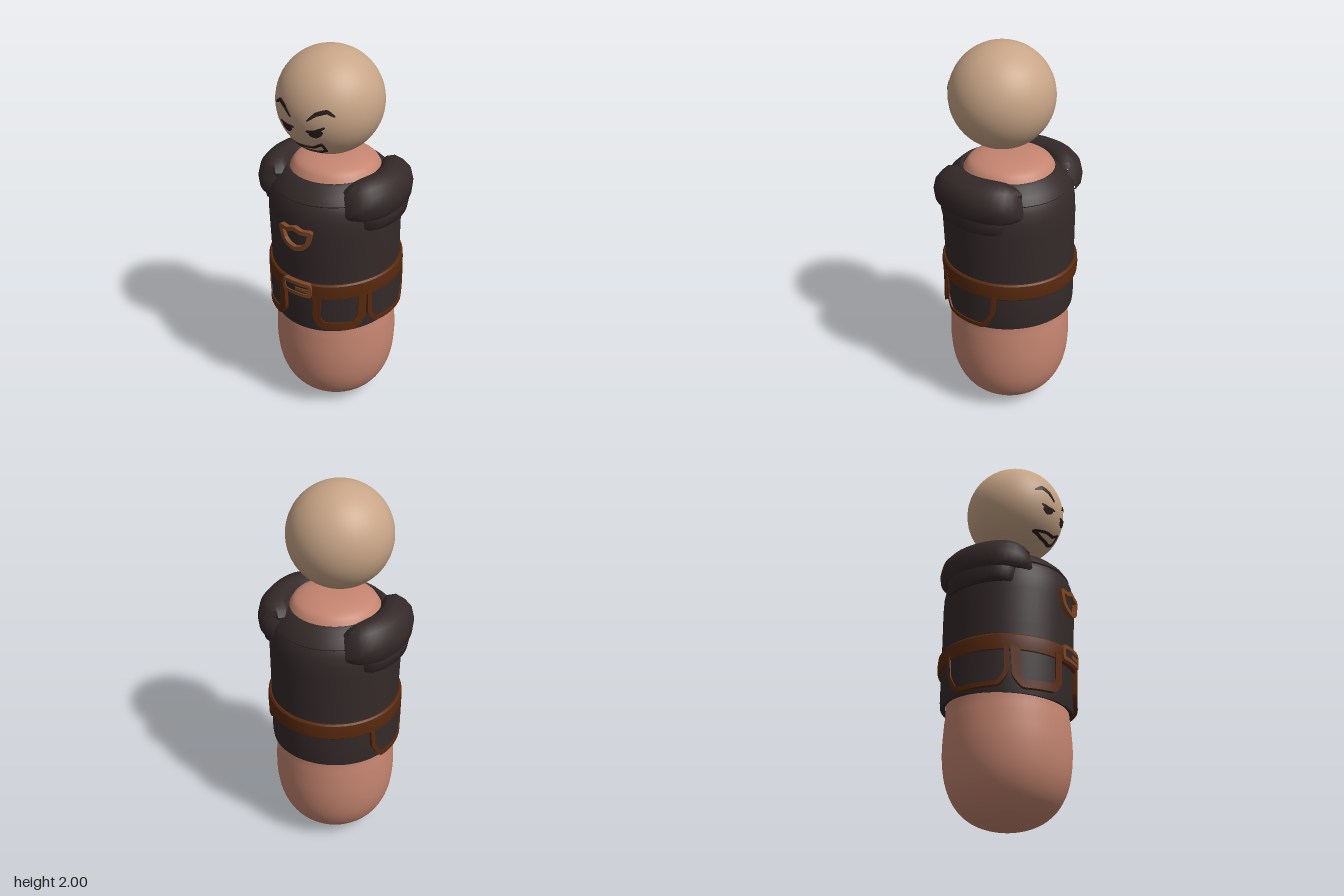
import * as THREE from 'three';
import { toCreasedNormals } from 'three/addons/utils/BufferGeometryUtils.js';

const R = 0.34; // nominal torso radius, turns arc length into angle
const HEAD = { y: 1.737, z: 0.037, r: 0.264 };

const material = (name, color) => Object.assign(new THREE.MeshStandardMaterial({ color }), { name });

// Point on the torso: angle from the front, height, radius
function onTorso(a, y, r) {
  const lean = -0.018 + 0.015 * THREE.MathUtils.clamp((y - 0.6) / 0.6, 0, 1);
  return new THREE.Vector3(Math.sin(a) * r, y, Math.cos(a) * r * 1.03 + lean);
}

// Point on the front of the head
function onHead(x, y, h) {
  const dy = y - HEAD.y;
  const z = Math.sqrt(HEAD.r ** 2 - x * x - dy * dy);
  return new THREE.Vector3(x, dy, z).multiplyScalar(1 + h / HEAD.r).add(new THREE.Vector3(0, HEAD.y, HEAD.z));
}

// Skin a list of rows of points
function loft(rows, crease = 0.6) {
  const n = rows[0].length;
  const index = [];
  for (let i = 0; i < rows.length - 1; i++) {
    for (let j = 0; j < n - 1; j++) {
      const a = i * n + j, b = a + n;
      index.push(a, b, b + 1, a, b + 1, a + 1);
    }
  }
  const geo = new THREE.BufferGeometry().setFromPoints(rows.flat());
  geo.setIndex(index);
  return toCreasedNormals(geo, crease);
}

// Revolve a [radius, height] profile around the torso; shift moves heights by angle
function revolve(profile, shift = () => 0, steps = 64) {
  const rows = [];
  for (let i = 0; i <= steps; i++) {
    const a = (i / steps) * Math.PI * 2;
    rows.push(profile.map(([r, y]) => onTorso(a, y + shift(a, y), r)));
  }
  return loft(rows);
}

// Raised strip following a path on a curved surface
function strip(map, points, width, low, high, { closed = false, taper = 0, steps = 48 } = {}) {
  const curve = new THREE.CatmullRomCurve3(
    points.map(([u, v]) => new THREE.Vector3(u, v, 0)), closed, 'catmullrom', 0.15);
  const rows = [];
  for (let i = 0; i <= steps; i++) {
    const t = i / steps;
    const p = curve.getPoint(t), d = curve.getTangent(t);
    const end = !closed && (i === 0 || i === steps);
    const w = end ? 0 : (width / 2) * Math.sin(Math.PI * t) ** taper;
    const at = (k, h) => map(p.x - d.y * w * k, p.y + d.x * w * k, h);
    rows.push([at(-1, low), at(-1, high), at(1, high), at(1, low)]);
  }
  return loft(rows);
}

const torsoMap = (u, v, r) => onTorso(u / R, v, r);

// Curved panel between two angles, with its lower corners drawn in
function panel(a0, a1, y0, y1, r, inset = 0.1) {
  const rows = [];
  for (let i = 0; i <= 12; i++) {
    const row = [];
    for (let j = 0; j <= 4; j++) {
      const v = j / 4;
      const pull = inset * Math.max(0, 1 - v * 2);
      row.push(onTorso(THREE.MathUtils.lerp(a0 + pull, a1 - pull, i / 12), THREE.MathUtils.lerp(y0, y1, v), r));
    }
    rows.push(row);
  }
  return loft(rows);
}

// Shoulder plate: a profile swept around the side, sinking into the torso at both ends
function shoulderPlate(side, profile, spread) {
  const rows = [];
  for (let i = 0; i <= 20; i++) {
    const s = (i / 10 - 1) * side;
    const a = side * (Math.PI / 2 + 0.04 + s * spread);
    const sink = Math.abs(s) ** 5;
    rows.push(profile.map(([r, y]) =>
      onTorso(a, y - (y > 1.3 ? 0.06 * sink : 0), r - (r > 0.33 ? 0.06 * sink : 0))));
  }
  return loft(rows, 0.8);
}

export function createModel() {
  const group = new THREE.Group();
  const skin = material('body pink', 0xc58570);
  const headTan = material('head tan', 0xc8a587);
  const cloth = material('dark cloth', 0x342929);
  const leather = material('brown leather', 0x59290d);
  const trim = material('light brown trim', 0x7c4624);
  const ink = material('face ink', 0x2a1d1c);

  const add = (name, geo, mat) => {
    const mesh = new THREE.Mesh(geo, mat);
    mesh.name = name;
    group.add(mesh);
    return mesh;
  };

  // Rounded body
  const bodyProfile = [[0, 0], [0.1, 0.012], [0.19, 0.05], [0.26, 0.12], [0.305, 0.225], [0.322, 0.36],
    [0.317, 0.5], [0.308, 0.62], [0.305, 1.0], [0.3, 1.2], [0.265, 1.3], [0.225, 1.385],
    [0.19, 1.422], [0.11, 1.445], [0, 1.45]];
  const bodyCurve = new THREE.SplineCurve(bodyProfile.map(([x, y]) => new THREE.Vector2(x, y)));
  const bodyPoints = bodyCurve.getPoints(56);
  bodyPoints.forEach((p) => { p.x = Math.max(p.x, 0); });
  add('body', new THREE.LatheGeometry(bodyPoints, 48), skin).position.z = -0.012;

  // Floating head
  add('head', new THREE.SphereGeometry(HEAD.r, 48, 32), headTan).position.set(0, HEAD.y, HEAD.z);

  // Face strokes
  const stroke = (name, points, width, options) =>
    add(name, strip(onHead, points, width, -0.002, 0.004, options), ink);
  stroke('rightBrow', [[-0.165, 1.757], [-0.125, 1.783], [-0.085, 1.765], [-0.047, 1.727]], 0.02, { taper: 0.6 });
  stroke('leftBrow', [[0.042, 1.727], [0.085, 1.765], [0.13, 1.78], [0.163, 1.757]], 0.02, { taper: 0.6 });
  stroke('rightEyelid', [[-0.127, 1.683], [-0.08, 1.675], [-0.033, 1.678]], 0.014, { taper: 0.4 });
  stroke('leftEyelid', [[0.033, 1.672], [0.075, 1.677], [0.122, 1.702]], 0.014, { taper: 0.4 });
  stroke('rightEye', [[-0.112, 1.667], [-0.08, 1.66], [-0.05, 1.665]], 0.038, { taper: 0.6 });
  stroke('leftEye', [[0.045, 1.662], [0.075, 1.662], [0.11, 1.678]], 0.038, { taper: 0.6 });
  stroke('mouth', [[-0.1, 1.552], [-0.03, 1.566], [0.04, 1.573], [0.09, 1.602], [0.09, 1.556],
    [0.05, 1.538], [-0.03, 1.537]], 0.012, { closed: true, steps: 70 });

  // Tunic with a hem that rises toward the back
  const hem = (a, y) => (y < 0.65 ? 0.022 * (1 - Math.cos(a)) : 0);
  add('tunic', revolve([[0.3, 0.575], [0.325, 0.568], [0.329, 0.6], [0.33, 0.75], [0.332, 0.95], [0.335, 1.14],
    [0.333, 1.21], [0.322, 1.265], [0.297, 1.315], [0.26, 1.355], [0.232, 1.37], [0.215, 1.36]], hem), cloth);
  add('collar', revolve([[0.305, 1.29], [0.312, 1.3], [0.29, 1.335], [0.25, 1.374], [0.235, 1.383],
    [0.224, 1.378], [0.218, 1.35]]), cloth);

  // Layered shoulder plates and hip pouches on both sides
  for (const side of [1, -1]) {
    const label = side > 0 ? 'left' : 'right';
    add(label + 'ShoulderPlate', shoulderPlate(side, [[0.31, 1.25], [0.375, 1.235], [0.386, 1.25], [0.392, 1.31],
      [0.38, 1.36], [0.35, 1.395], [0.3, 1.418], [0.26, 1.415], [0.23, 1.39], [0.222, 1.35]], 0.87), cloth);
    add(label + 'LowerShoulderPlate', shoulderPlate(side, [[0.31, 1.175], [0.36, 1.162], [0.369, 1.17],
      [0.378, 1.22], [0.375, 1.28], [0.325, 1.295]], 0.64), cloth);

    const pouch = (name, path, width, a0, a1) => {
      const points = path.map(([a, y]) => [side * a * R, y]);
      add(label + name + 'Rim', strip(torsoMap, points, width, 0.32, 0.35), leather);
      add(label + name, panel(...(side > 0 ? [a0, a1] : [-a1, -a0]), 0.615, 0.81, 0.343), cloth);
    };
    pouch('FrontPouch', [[0.31, 0.82], [0.31, 0.665], [0.4, 0.622], [0.84, 0.618], [0.96, 0.67], [0.99, 0.82]],
      0.042, 0.32, 0.97);
    pouch('SidePouch', [[1.1, 0.82], [1.1, 0.68], [1.22, 0.622], [1.84, 0.622], [2.0, 0.7], [2.04, 0.82]],
      0.022, 1.12, 2.0);
  }

  // Belt, dipping slightly at the front
  const dip = (a) => -0.016 * Math.max(0, Math.cos(a)) ** 2;
  add('belt', revolve([[0.32, 0.795], [0.34, 0.79], [0.347, 0.797], [0.35, 0.835], [0.347, 0.873],
    [0.34, 0.881], [0.32, 0.876]], dip), leather);

  // Buckle
  add('buckleBacking', panel(-0.2, 0.2, 0.795, 0.86, 0.3535, 0), cloth);
  add('buckleFrame', strip(torsoMap, [[-0.07, 0.797], [0.07, 0.797], [0.07, 0.856], [-0.07, 0.856]],
    0.019, 0.335, 0.36, { closed: true, steps: 64 }), trim);
  add('buckleProng', strip(torsoMap, [[-0.005, 0.824], [0.07, 0.824]], 0.018, 0.345, 0.359), trim);

  // Plain shield outline on the chest
  add('chestBadge', strip(torsoMap, [[-0.084, 1.163], [-0.067, 1.1], [-0.04, 1.073], [0, 1.06], [0.04, 1.073],
    [0.067, 1.1], [0.084, 1.163], [0.04, 1.16], [0, 1.174], [-0.04, 1.16]],
    0.022, 0.328, 0.356, { closed: true, steps: 80 }), trim);

  return group;
}
